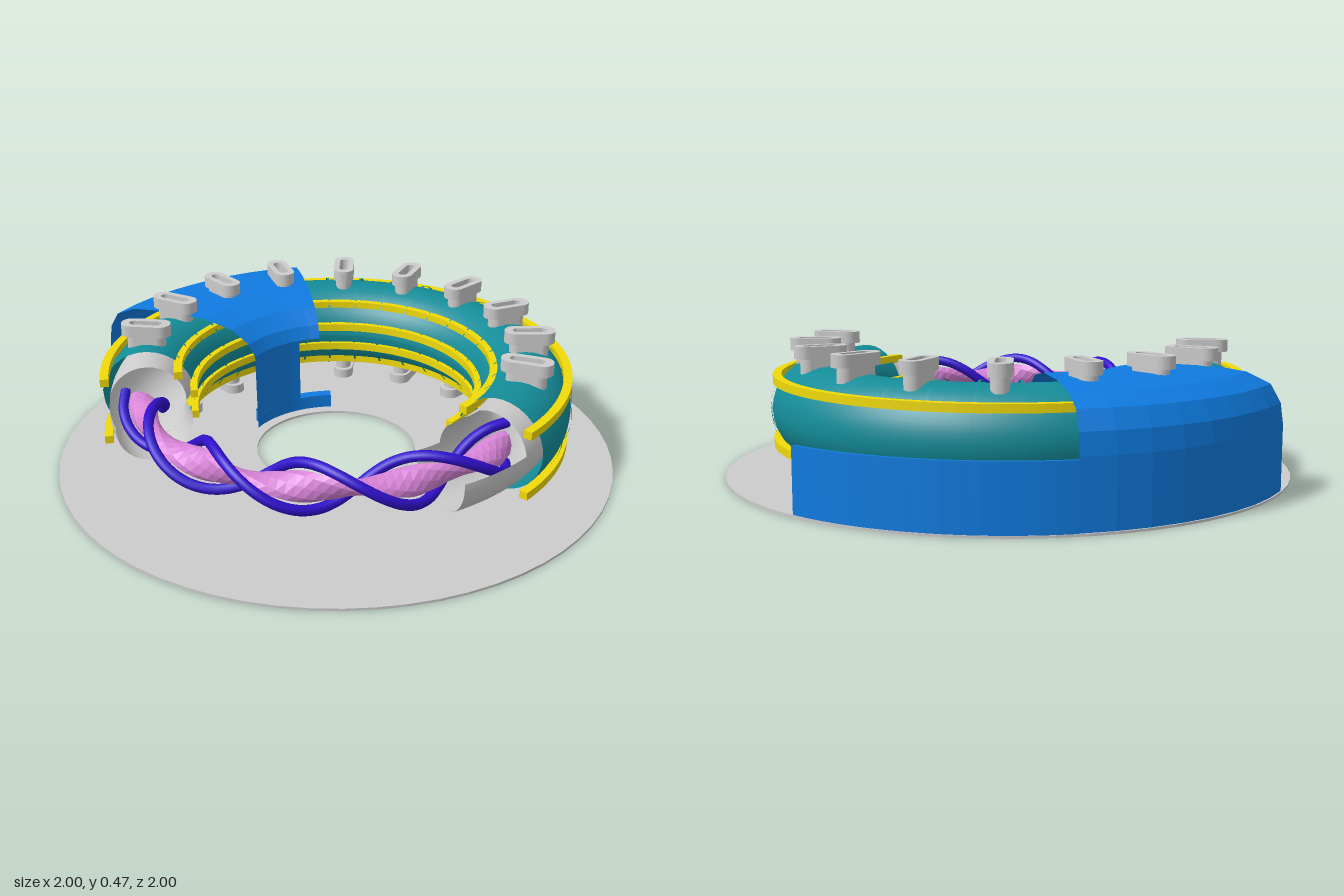
import * as THREE from 'three';
import { ParametricGeometry } from 'three/addons/geometries/ParametricGeometry.js';

const rad = THREE.MathUtils.degToRad;
const R = 0.67, Y = 0.235; // ring axis radius and height

const material = (color, flatShading = false) =>
  new THREE.MeshStandardMaterial({ color, flatShading, side: THREE.DoubleSide });
const grey = material(0xcccccc);
const teal = material(0x148c98);
const yellow = material(0xf0da0a);
const blue = material(0x0f7be0, true);
const violet = material(0x3010cc);
const pink = material(0xd884d8, true);

// Angles are in degrees from +x towards +z.
function revolve(points, from, to, segments) {
  const profile = points.map(([r, y]) => new THREE.Vector2(r, y));
  return new THREE.LatheGeometry(profile, segments, rad(90 - to), rad(to - from));
}

// Piece of a ring tube, with its cross-section running from angle t0 to t1
function ringTube(minor, from, to, t0 = -180, t1 = 180, step = 3) {
  const points = [];
  for (let i = 0; i <= 32; i++) {
    const t = rad(t0 + (t1 - t0) * i / 32);
    points.push([R + minor * Math.cos(t), Y + minor * Math.sin(t)]);
  }
  return revolve(points, from, to, Math.max(1, Math.round((to - from) / step)));
}

// Flat shape laid in the ground plane, its bottom at height y
function slab(shape, y, height, curveSegments = 24) {
  const g = new THREE.ExtrudeGeometry(shape, { depth: height, bevelEnabled: false, curveSegments });
  return g.rotateX(Math.PI / 2).translate(0, y + height, 0);
}

function sector(r0, r1, from, to) {
  const s = new THREE.Shape();
  s.absarc(0, 0, r1, rad(from), rad(to), false);
  s.absarc(0, 0, r0, rad(to), rad(from), true);
  return s;
}

function stadium(length, width, Type = THREE.Shape) {
  const s = new Type(), h = (length - width) / 2;
  s.absarc(h, 0, width / 2, -Math.PI / 2, Math.PI / 2, false);
  s.absarc(-h, 0, width / 2, Math.PI / 2, Math.PI * 1.5, false);
  s.closePath();
  return s;
}

export function createModel() {
  const model = new THREE.Group();
  const add = (name, geometry, mat, parent = model) => {
    const mesh = new THREE.Mesh(geometry, mat);
    mesh.name = name;
    parent.add(mesh);
    return mesh;
  };

  // Base plate with its central hole
  const plate = new THREE.Shape().absarc(0, 0, 1, 0, Math.PI * 2, false);
  plate.holes.push(new THREE.Path().absarc(0, 0, 0.29, 0, Math.PI * 2, true));
  add('basePlate', slab(plate, 0, 0.008, 32), grey);

  // Open ring vessel and its thin ribs
  add('vessel', ringTube(0.163, -186, 32), teal);
  for (let i = 0; i < 20; i++) {
    const a = 21.7 - i * 10.8;
    add('vesselRib', ringTube(0.171, a - 0.4, a + 0.4), teal);
  }

  // Inner liner, cut open in steps at both ends
  add('liner', ringTube(0.135, -192, 36), grey);
  add('linerTrayRight', ringTube(0.135, -207, -192, -190, 5), grey);
  [[41, -245], [46, -220], [56, -185]].forEach(([end, t0]) =>
    add('linerTrayLeft', ringTube(0.135, 35, end, t0, 8), grey));

  // Square-section hoops outside and inside the ring
  const hoops = [
    [0.80, 0.83, 0.33], [0.80, 0.83, 0.11],
    [0.545, 0.575, 0.335], [0.545, 0.575, 0.105],
    [0.495, 0.52, 0.26], [0.495, 0.52, 0.18],
  ];
  for (const [r0, r1, y] of hoops)
    add('hoop', slab(sector(r0, r1, -196, 37.5), y, 0.028, 64), yellow);

  // Slotted ports above and below the ring
  for (let i = 0; i < 10; i++) {
    const port = new THREE.Group();
    port.name = 'portPair';
    const neck = stadium(0.14, 0.06), flange = stadium(0.18, 0.078);
    for (const s of [neck, flange]) s.holes.push(stadium(0.12, 0.034, THREE.Path));
    for (const [name, shape, y, h] of [['portNeck', neck, 0.375, 0.055], ['portFlange', flange, 0.427, 0.042]]) {
      add(name, slab(shape, y, h, 8).translate(R + 0.015, 0, 0), grey, port);
      add(name, slab(shape, 2 * Y - y - h, h, 8).translate(R + 0.015, 0, 0), grey, port);
    }
    port.rotation.y = -rad(16.3 - 21.6 * i);
    model.add(port);
  }

  // Domed cover sector with outer skirt
  add('cover', revolve([
    [0.995, 0.008], [0.995, 0.23], [0.985, 0.3], [0.95, 0.36], [0.87, 0.395], [0.72, 0.412],
    [0.55, 0.412], [0.43, 0.39], [0.36, 0.345], [0.335, 0.3],
  ], -157.5, -105.3, 8), blue);
  add('coverColumn', revolve([[0.335, 0.3], [0.33, 0.008]], -157.5, -119, 6), blue);
  add('innerKerb', slab(sector(0.33, 0.37, -150, -98), 0.008, 0.05, 8), blue);
  add('outerWall', slab(sector(0.985, 0.998, -105.3, -53), 0.008, 0.214, 8), blue);

  // Twisted core and the two strands wound round it
  const twist = (deg) => rad(6 * (deg - 90) + 90);
  const around = (deg, u, v, target = new THREE.Vector3()) => {
    const r = R + 0.015 + u;
    return target.set(r * Math.cos(rad(deg)), Y + v, r * Math.sin(rad(deg)));
  };
  add('twistedCore', new ParametricGeometry((u, v, target) => {
    const deg = 31 + 139 * u, t = v * Math.PI * 2, w = twist(deg);
    const a = 0.05 * Math.cos(t), b = 0.026 * Math.sin(t);
    around(deg, a * Math.cos(w) - b * Math.sin(w), a * Math.sin(w) + b * Math.cos(w), target);
  }, 60, 8), pink);
  for (const phase of [0, Math.PI]) {
    const points = [];
    for (let deg = 30; deg <= 170; deg += 5) {
      const w = twist(deg) + phase;
      points.push(around(deg, 0.072 * Math.cos(w), 0.076 * Math.sin(w)));
    }
    add('strand', new THREE.TubeGeometry(new THREE.CatmullRomCurve3(points), 120, 0.018, 10), violet);
  }
  return model;
}
